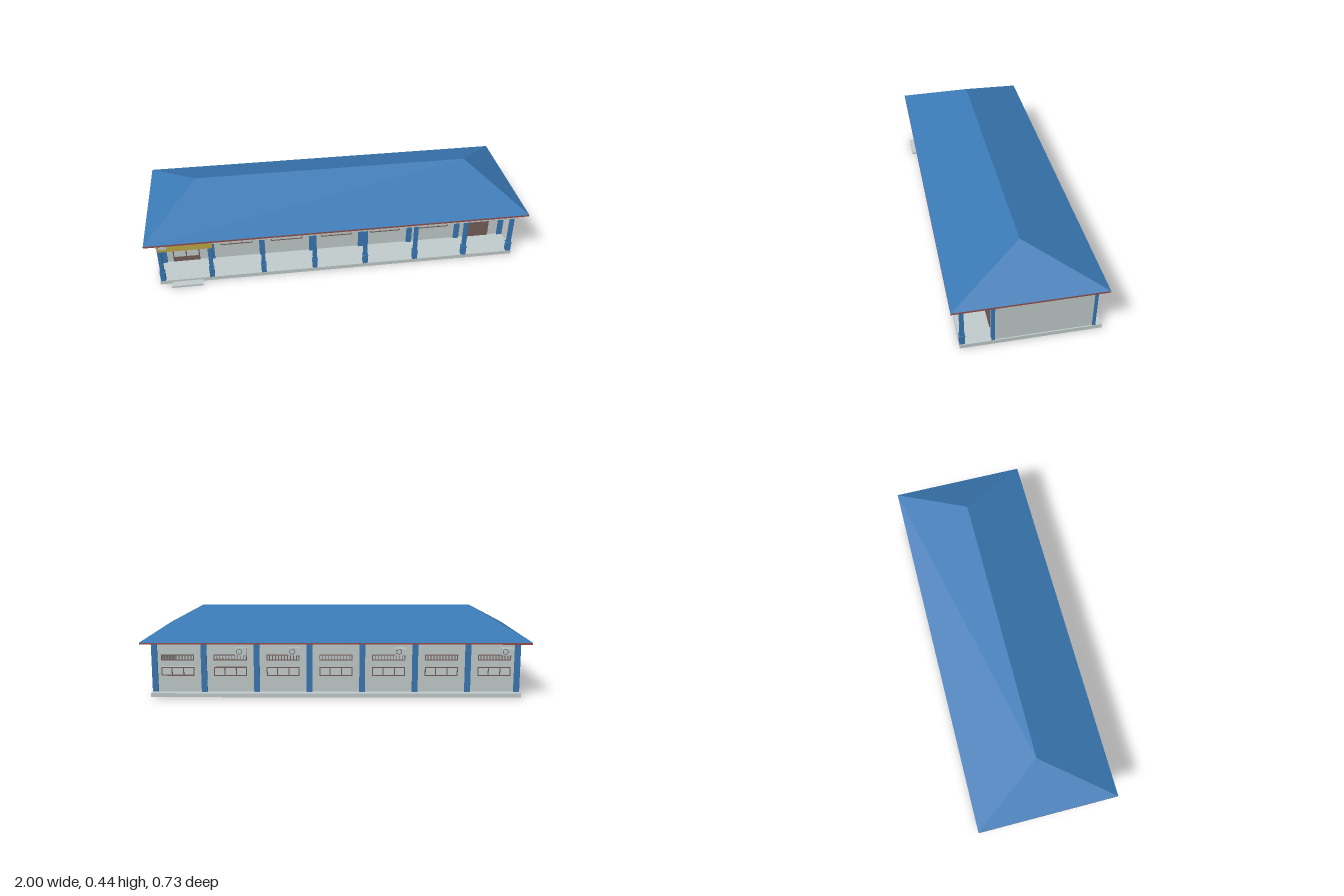
import * as THREE from 'three';

const mat = (name, color, side = THREE.FrontSide) => {
  const m = new THREE.MeshStandardMaterial({ color, side });
  m.name = name;
  return m;
};

export function createModel() {
  const wall = mat('pale wall', 0xc3cdcd);
  const blue = mat('blue', 0x3a79b5);
  const red = mat('fascia red', 0x964f4b);
  const brown = mat('brown', 0x76605a);
  const yellow = mat('sign yellow', 0xc2aa48);
  const pane = mat('pane', 0xc8d0d0);
  const dark = mat('grille dark', 0x3c3f42);

  const model = new THREE.Group();
  model.name = 'longVerandaBuilding';

  // Box given by its x, y and z ranges
  const box = (name, m, x0, x1, y0, y1, z0, z1, parent = model) => {
    const mesh = new THREE.Mesh(new THREE.BoxGeometry(x1 - x0, y1 - y0, z1 - z0), m);
    mesh.position.set((x0 + x1) / 2, (y0 + y1) / 2, (z0 + z1) / 2);
    mesh.name = name;
    parent.add(mesh);
    return mesh;
  };
  const group = (name) => {
    const g = new THREE.Group();
    g.name = name;
    model.add(g);
    return g;
  };

  const FLOOR = 0.021, TOP = 0.277, EAVE = 0.285;
  const FRONT = 0.164, BACK = -0.323, THICK = 0.012, SIDE = 0.945;
  const BAY = 0.272;
  const VENT = { w: 0.17, y0: 0.186, y1: 0.216 };
  const WIN = { w: 0.17, y0: 0.105, y1: 0.152 };

  // Floor slab and entrance step
  box('floorSlab', wall, -0.951, 0.951, 0, FLOOR, -0.363, 0.324);
  box('entranceStep', wall, -0.89, -0.73, 0, 0.01, 0.324, 0.361);

  // Long walls, with open vents
  const longWall = (name, z, bays) => {
    const s = new THREE.Shape([[-SIDE, FLOOR], [SIDE, FLOOR], [SIDE, TOP], [-SIDE, TOP]]
      .map(p => new THREE.Vector2(...p)));
    bays.forEach(b => {
      const x0 = b * BAY - VENT.w / 2, x1 = x0 + VENT.w;
      s.holes.push(new THREE.Path([[x0, VENT.y0], [x0, VENT.y1], [x1, VENT.y1], [x1, VENT.y0]]
        .map(p => new THREE.Vector2(...p))));
    });
    const mesh = new THREE.Mesh(
      new THREE.ExtrudeGeometry(s, { depth: THICK, bevelEnabled: false }), wall);
    mesh.position.z = z;
    mesh.name = name;
    model.add(mesh);
  };
  const frontBays = [-2, -1, 0, 1, 2], backBays = [-3, -2, -1, 0, 1, 2, 3];
  longWall('frontWall', FRONT - THICK, frontBays);
  longWall('backWall', BACK, backBays);
  for (const s of [-1, 1]) {
    const x = s * (SIDE - THICK / 2);
    box('endWall', wall, x - THICK / 2, x + THICK / 2, FLOOR, TOP, BACK + THICK, FRONT - THICK);
  }

  // Rectangular frame with evenly spaced mullions, centred on the wall face z
  const frame = (g, x0, x1, y0, y1, z, t, splits, depth = 0.008) => {
    const a = z - depth / 2, b = z + depth / 2;
    box('frameSill', brown, x0, x1, y0, y0 + t, a, b, g);
    box('frameHead', brown, x0, x1, y1 - t, y1, a, b, g);
    for (const f of [0, ...splits, 1]) {
      const x = x0 + t / 2 + f * (x1 - x0 - t);
      box('frameUpright', brown, x - t / 2, x + t / 2, y0 + t, y1 - t, a, b, g);
    }
  };
  const glaze = (g, x0, x1, y0, y1, z) => box('panes', pane, x0, x1, y0, y1, z - 0.002, z + 0.002, g);

  // Window bays: barred vent over a three-pane window
  const bars = Array.from({ length: 10 }, (_, i) => (i + 1) / 11);
  const windowBay = (name, x, z) => {
    const g = group(name);
    const x0 = x - VENT.w / 2, x1 = x + VENT.w / 2;
    frame(g, x0, x1, VENT.y0, VENT.y1, z, 0.004, []);
    for (const f of bars) {
      const bx = x0 + f * VENT.w;
      box('ventBar', brown, bx - 0.0018, bx + 0.0018, VENT.y0, VENT.y1, z - 0.003, z + 0.003, g);
    }
    glaze(g, x0, x1, WIN.y0, WIN.y1, z);
    frame(g, x0, x1, WIN.y0, WIN.y1, z, 0.005, [0.32, 0.68]);
  };
  frontBays.forEach(b => windowBay('frontWindowBay', b * BAY, FRONT));
  backBays.forEach(b => windowBay('backWindowBay', b * BAY, BACK));

  // Glazed double door with transom
  const door = group('glazedDoor');
  glaze(door, -0.887, -0.745, FLOOR, 0.172, FRONT);
  frame(door, -0.887, -0.745, FLOOR, 0.172, FRONT, 0.006, [0.5]);
  box('kickPanel', brown, -0.885, -0.747, FLOOR, 0.05, FRONT - 0.003, FRONT + 0.003, door);
  box('doorRail', brown, -0.885, -0.747, 0.108, 0.114, FRONT - 0.003, FRONT + 0.003, door);
  glaze(door, -0.887, -0.745, VENT.y0, VENT.y1, FRONT);
  frame(door, -0.887, -0.745, VENT.y0, VENT.y1, FRONT, 0.004, [0.5]);

  // Solid door with transom
  const solid = group('solidDoor');
  box('doorLeaf', brown, 0.75, 0.865, FLOOR, 0.172, FRONT - 0.004, FRONT + 0.004, solid);
  glaze(solid, 0.75, 0.865, VENT.y0, VENT.y1, FRONT);
  frame(solid, 0.75, 0.865, VENT.y0, VENT.y1, FRONT, 0.004, [0.5]);

  // Wall pillars and free-standing veranda columns
  for (let i = 0; i < 8; i++) {
    const x = THREE.MathUtils.clamp((i - 3.5) * BAY, -0.934, 0.934);
    box('frontPillar', blue, x - 0.015, x + 0.015, FLOOR, TOP, 0.157, 0.173);
    box('backPillar', blue, x - 0.015, x + 0.015, FLOOR, TOP, -0.331, -0.315);
    const g = group('verandaColumn');
    box('columnBase', blue, x - 0.013, x + 0.013, FLOOR, 0.069, 0.298, 0.324, g);
    box('columnRing', blue, x - 0.015, x + 0.015, 0.069, 0.074, 0.296, 0.326, g);
    box('columnShaft', blue, x - 0.01, x + 0.01, 0.074, 0.236, 0.301, 0.321, g);
  }

  // Veranda beams
  box('frontBeam', wall, -0.95, 0.95, 0.235, TOP, 0.299, 0.323);
  for (const x of [-0.938, 0.938]) {
    box('sideBeam', wall, x - 0.012, x + 0.012, 0.235, TOP, 0.173, 0.299);
  }

  // Sign board with a blank pale plate
  box('signBoard', yellow, -0.94, -0.665, 0.216, 0.275, 0.324, 0.331);
  box('signPlate', pane, -0.932, -0.893, 0.233, 0.265, 0.331, 0.333);

  // Wall-mounted cooling units on the back
  for (const b of [2, 1, -1, -3]) {
    const x = b * BAY - 0.058;
    const g = group('coolingUnit');
    box('unitCase', wall, x - 0.028, x + 0.028, 0.218, 0.255, -0.352, -0.331, g);
    const fan = new THREE.Mesh(new THREE.TorusGeometry(0.013, 0.0012, 6, 20), dark);
    fan.position.set(x + 0.008, 0.237, -0.352);
    fan.name = 'fanRing';
    g.add(fan);
    for (const s of [-0.02, 0.02]) {
      box('bracket', brown, x + s - 0.002, x + s + 0.002, 0.213, 0.218, -0.353, BACK, g);
    }
  }

  // Fascia around the eaves
  const X = 1, Z = 0.366;
  for (const s of [-1, 1]) {
    box('longFascia', red, -X, X, 0.276, EAVE, s * (Z - 0.003) - 0.003, s * (Z - 0.003) + 0.003);
    box('endFascia', red, s * (X - 0.003) - 0.003, s * (X - 0.003) + 0.003, 0.276, EAVE, -Z + 0.006, Z - 0.006);
  }

  // Hipped roof with a flat soffit
  const A = [-X, EAVE, Z], B = [X, EAVE, Z], C = [X, EAVE, -Z], D = [-X, EAVE, -Z];
  const L = [-0.735, 0.435, 0], R = [0.735, 0.435, 0];
  const faces = [A, B, R, A, R, L, B, C, R, C, D, L, C, L, R, D, A, L];
  const roofGeo = new THREE.BufferGeometry();
  roofGeo.setAttribute('position', new THREE.Float32BufferAttribute(faces.flat(), 3));
  roofGeo.computeVertexNormals();
  const roof = new THREE.Mesh(roofGeo, blue);
  roof.name = 'hippedRoof';
  model.add(roof);
  box('soffit', blue, -X + 0.006, X - 0.006, TOP, EAVE - 0.002, -Z + 0.006, Z - 0.006);

  return model;
}
